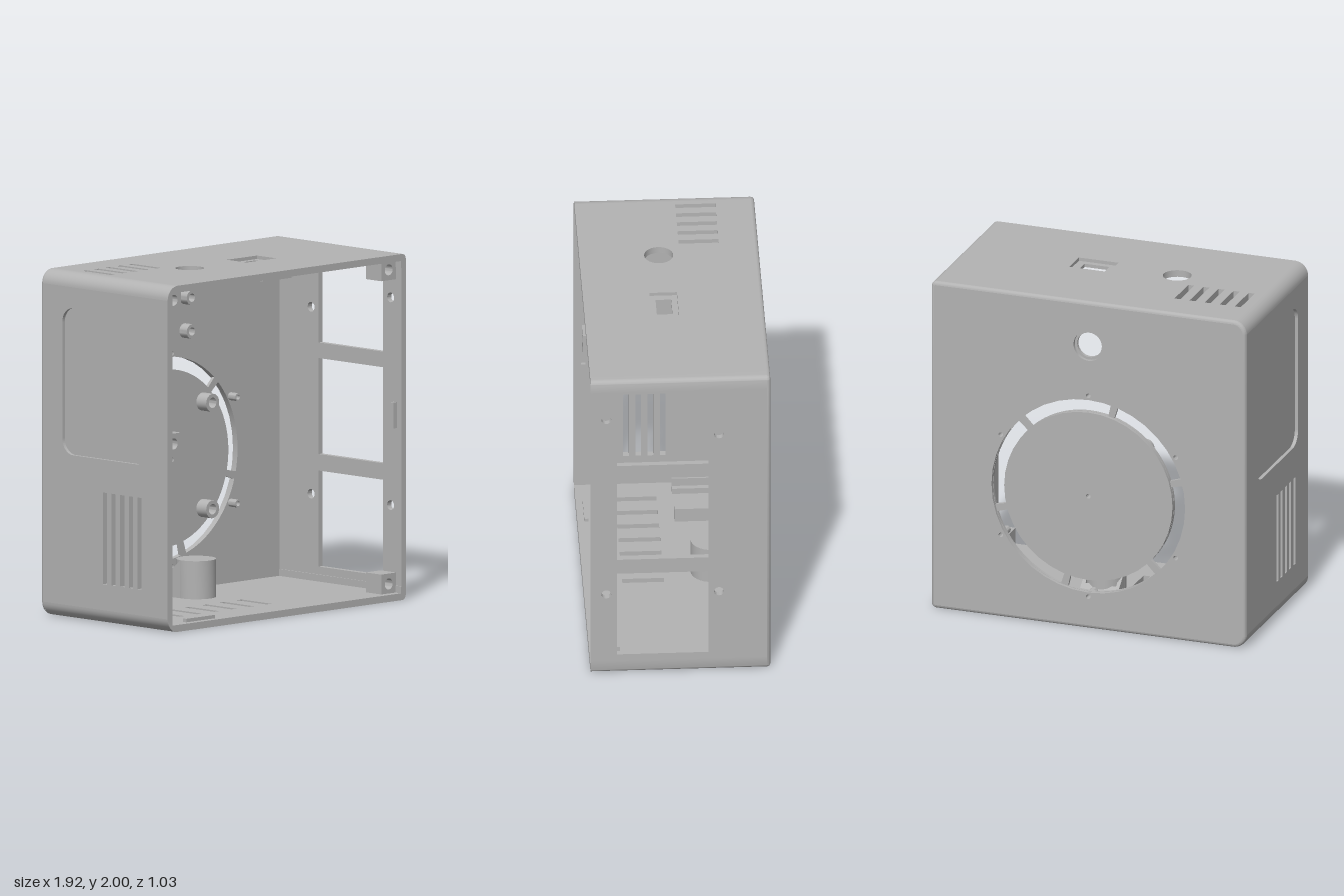
import * as THREE from 'three';
import { toCreasedNormals } from 'three/addons/utils/BufferGeometryUtils.js';

const ZB = -0.515, ZF = 0.515, T = 0.04, CY = 0.81;
const grey = new THREE.MeshStandardMaterial({ color: 0xb3b3b3 });
grey.name = 'grey plastic';

// Rounded rectangle with separate radii for its low-x and high-x corners
function rounded(Type, x0, y0, x1, y1, rl, rr = rl) {
  const s = new Type(), q = Math.PI / 2;
  s.absarc(x1 - rr, y0 + rr, rr, -q, 0);
  s.absarc(x1 - rr, y1 - rr, rr, 0, q);
  s.absarc(x0 + rl, y1 - rl, rl, q, 2 * q);
  s.absarc(x0 + rl, y0 + rl, rl, 2 * q, 3 * q);
  return s;
}
function rect(Type, x0, y0, x1, y1) {
  return new Type([[x0, y0], [x1, y0], [x1, y1], [x0, y1]].map(p => new THREE.Vector2(...p)));
}
const slot = (x0, y0, x1, y1) => rect(THREE.Path, x0, y0, x1, y1);
const hole = (x, y, r) => new THREE.Path().absarc(x, y, r, 0, Math.PI * 2);
const outline = inset => rounded(THREE.Shape, -0.96 + inset, inset, 0.96 - inset, 2 - inset, 0.08 - inset, 0.03 - inset);

function extrude(shape, holes, depth) {
  shape.holes.push(...holes);
  const g = new THREE.ExtrudeGeometry(shape, { depth, bevelEnabled: false, curveSegments: 20 });
  return toCreasedNormals(g, 0.5);
}

export function createModel() {
  const model = new THREE.Group();
  model.name = 'enclosure';
  const add = (name, geo, x = 0, y = 0, z = 0) => {
    const m = new THREE.Mesh(geo, grey);
    m.name = name;
    m.position.set(x, y, z);
    model.add(m);
    return m;
  };
  const box = (name, x0, x1, y0, y1, z0, z1) =>
    add(name, new THREE.BoxGeometry(x1 - x0, y1 - y0, z1 - z0), (x0 + x1) / 2, (y0 + y1) / 2, (z0 + z1) / 2);
  const lathe = pts => toCreasedNormals(new THREE.LatheGeometry(pts.map(p => new THREE.Vector2(...p)), 32), 0.5);
  // Panels: horizontal ones are drawn in (x, z), side ones in (z, y)
  const flat = (name, holes, depth, top) =>
    add(name, extrude(rect(THREE.Shape, -0.88, ZB + 0.02, 0.88, ZF), holes, depth), 0, top).rotation.x = Math.PI / 2;
  const side = (name, holes, depth, x) =>
    add(name, extrude(rect(THREE.Shape, ZB + 0.02, 0.08, ZF, 1.92), holes, depth), x).rotation.y = -Math.PI / 2;

  // Back wall: outer layer with a full ring opening, inner layer with six arc slots
  const screws = [[0, CY]];
  for (let i = 0; i < 6; i++) {
    const a = Math.PI / 6 + i * Math.PI / 3;
    screws.push([0.615 * Math.cos(a), CY + 0.615 * Math.sin(a)]);
  }
  const pins = screws.map(([x, y]) => hole(x, y, 0.014));
  add('backWallOuter', extrude(outline(0.02), [hole(0, CY, 0.59), hole(0, 1.73, 0.09), ...pins.slice(1)], 0.02), 0, 0, ZB);
  add('speakerDisc', extrude(new THREE.Shape().absarc(0, CY, 0.513, 0, Math.PI * 2), [hole(0, CY, 0.014)], 0.02), 0, 0, ZB);
  const arcs = [];
  for (let i = 0; i < 6; i++) {
    const a = Math.PI / 4 + i * Math.PI / 3, b = a + Math.PI / 3, g = 0.037;
    arcs.push(new THREE.Path().absarc(0, CY, 0.587, a + g, b - g, false).absarc(0, CY, 0.513, b - g, a + g, true));
  }
  add('backWallInner', extrude(rect(THREE.Shape, -0.93, 0.035, 0.93, 1.965), [...arcs, ...pins, hole(0, 1.73, 0.075)], 0.02), 0, 0, ZB + 0.02);

  // Rounded back edge, lofted from shrinking outlines
  const pos = [], idx = [], steps = 5;
  let n = 0;
  for (let j = 0; j <= steps; j++) {
    const a = j / steps * Math.PI / 2;
    const pts = outline(0.02 * (1 - Math.cos(a))).getPoints(10);
    n = pts.length;
    pts.forEach(p => pos.push(p.x, p.y, ZB + 0.02 * (1 - Math.sin(a))));
  }
  for (let j = 0; j < steps; j++) for (let i = 0; i < n; i++) {
    const a = j * n + i, b = j * n + (i + 1) % n;
    idx.push(a, a + n, b, b, a + n, b + n);
  }
  const edge = new THREE.BufferGeometry();
  edge.setAttribute('position', new THREE.Float32BufferAttribute(pos, 3));
  edge.setIndex(idx);
  add('backEdge', toCreasedNormals(edge, 0.6));

  // Corner bars, wide radius on one side and tight on the other
  for (const sx of [-1, 1]) for (const sy of [-1, 1]) {
    const r = sx < 0 ? 0.08 : 0.03, s = new THREE.Shape();
    const cx = 0.96 - r, cy = 1 - r;
    const pts = [[0.88, 0.96], [0.92, 0.96], [0.92, 0.92], [0.96, 0.92]];
    for (let i = 0; i <= 10; i++) {
      const a = i / 10 * Math.PI / 2;
      pts.push([cx + r * Math.cos(a), cy + r * Math.sin(a)]);
    }
    pts.push([0.88, 1]);
    s.setFromPoints(pts.map(([x, y]) => new THREE.Vector2(sx * x, 1 + sy * y)));
    add('cornerBar', extrude(s, [], ZF - ZB - 0.02), 0, 0, ZB + 0.02);
  }

  // Top wall: vents, button hole and a stepped socket opening
  const topCuts = () => [...[0, 1, 2, 3, 4].map(i => slot(-0.846 + i * 0.092, -0.29, -0.81 + i * 0.092, -0.06)), hole(-0.33, 0.06, 0.083)];
  flat('topWallOuter', [...topCuts(), slot(0.056, -0.025, 0.297, 0.133)], 0.02, 2);
  flat('topWallInner', [...topCuts(), slot(0.1, 0.01, 0.25, 0.1)], 0.02, 1.98);

  // Bottom wall: vents and round opening
  const floorCuts = [hole(0, -0.22, 0.095)];
  for (let i = 0; i < 7; i++) floorCuts.push(slot(-0.78 + i * 0.14, 0.05, -0.74 + i * 0.14, 0.29));
  flat('bottomWall', floorCuts, T, T);

  // Wall at -x: vents and a shallow rounded pocket outside
  const vents = () => [0, 1, 2, 3, 4].map(i => slot(-0.01 + i * 0.07, 0.23, 0.023 + i * 0.07, 0.76));
  side('rightWallInner', vents(), 0.02, -0.92);
  side('rightWallOuter', [...vents(), rounded(THREE.Path, -0.34, 0.95, 0.35, 1.8, 0.09)], 0.02, -0.94);

  // Wall at +x: three windows and screw holes
  side('leftWall', [
    ...[[0.125, 0.68], [0.775, 1.33], [1.42, 1.91]].map(([a, b]) => slot(-0.16, a, 0.365, b)),
    ...[[0.425, 1.74], [-0.22, 1.62], [0.425, 0.54], [-0.22, 0.54]].map(([z, y]) => hole(z, y, 0.028)),
  ], 0.033, 0.96);

  // Standoffs and pins on the back wall
  const standoff = (name, x, y, r, ri, h) =>
    add(name, lathe([[ri, 0], [r, 0], [r, h], [ri, h], [ri, 0]]), x, y, ZB + T).rotation.x = Math.PI / 2;
  for (const sx of [-1, 1]) {
    for (const y of [0.495, 1.11]) standoff('boardStandoff', sx * 0.307, y, 0.052, 0.03, 0.08);
    for (const y of [1.535, 1.73]) standoff('sensorStandoff', sx * 0.16, y, 0.042, 0.024, 0.06);
  }
  screws.forEach(([x, y]) => standoff('screwPin', x, y, 0.023, 0.014, 0.06));

  // Lid screw posts
  for (const [x, y] of [[-0.867, 1.91], [0.867, 1.91], [0.867, 0.095], [-0.867, 1.08]]) {
    const s = rect(THREE.Shape, x - 0.06, y - 0.06, x + 0.06, y + 0.06);
    add('lidPost', extrude(s, [hole(x, y, 0.032)], 0.125), 0, 0, 0.345);
  }

  // Snap tabs near the open front
  box('snapTab', -0.15, 0.08, 1.945, 1.965, 0.45, 0.475);
  box('snapTab', -0.77, -0.54, 0.035, 0.06, 0.45, 0.475);
  box('snapTab', -0.925, -0.9, 0.73, 0.88, 0.45, 0.475);
  box('snapTab', 0.9, 0.93, 0.99, 1.14, 0.45, 0.475);

  // U-shaped tray on the floor
  box('traySide', -0.865, -0.83, 0.035, 0.125, -0.48, -0.04);
  box('traySide', -0.55, -0.515, 0.035, 0.125, -0.48, -0.04);
  box('trayLedge', -0.835, -0.8, 0.035, 0.075, -0.48, -0.04);
  box('trayLedge', -0.58, -0.545, 0.035, 0.075, -0.48, -0.04);
  box('trayBack', -0.84, -0.54, 0.035, 0.125, -0.48, -0.445);

  // Hollow floor column with a sloped block behind it
  add('column', lathe([[0, 0.23], [0.09, 0.23], [0.09, 0.03], [0.115, 0.03], [0.115, 0.26], [0, 0.26]]), 0, 0, -0.22);
  const wedge = (x, w, z0) => {
    const s = new THREE.Shape([[z0, 0.035], [z0, 0.25 + (z0 + 0.25) * 0.9], [-0.48, 0.05], [-0.48, 0.035]]
      .map(([z, y]) => new THREE.Vector2(z, Math.min(y, 0.258))));
    add('columnWedge', extrude(s, [], w), x).rotation.y = -Math.PI / 2;
  };
  wedge(0.115, 0.23, -0.311);
  wedge(0.115, 0.022, -0.235);
  wedge(-0.093, 0.022, -0.235);

  return model;
}
